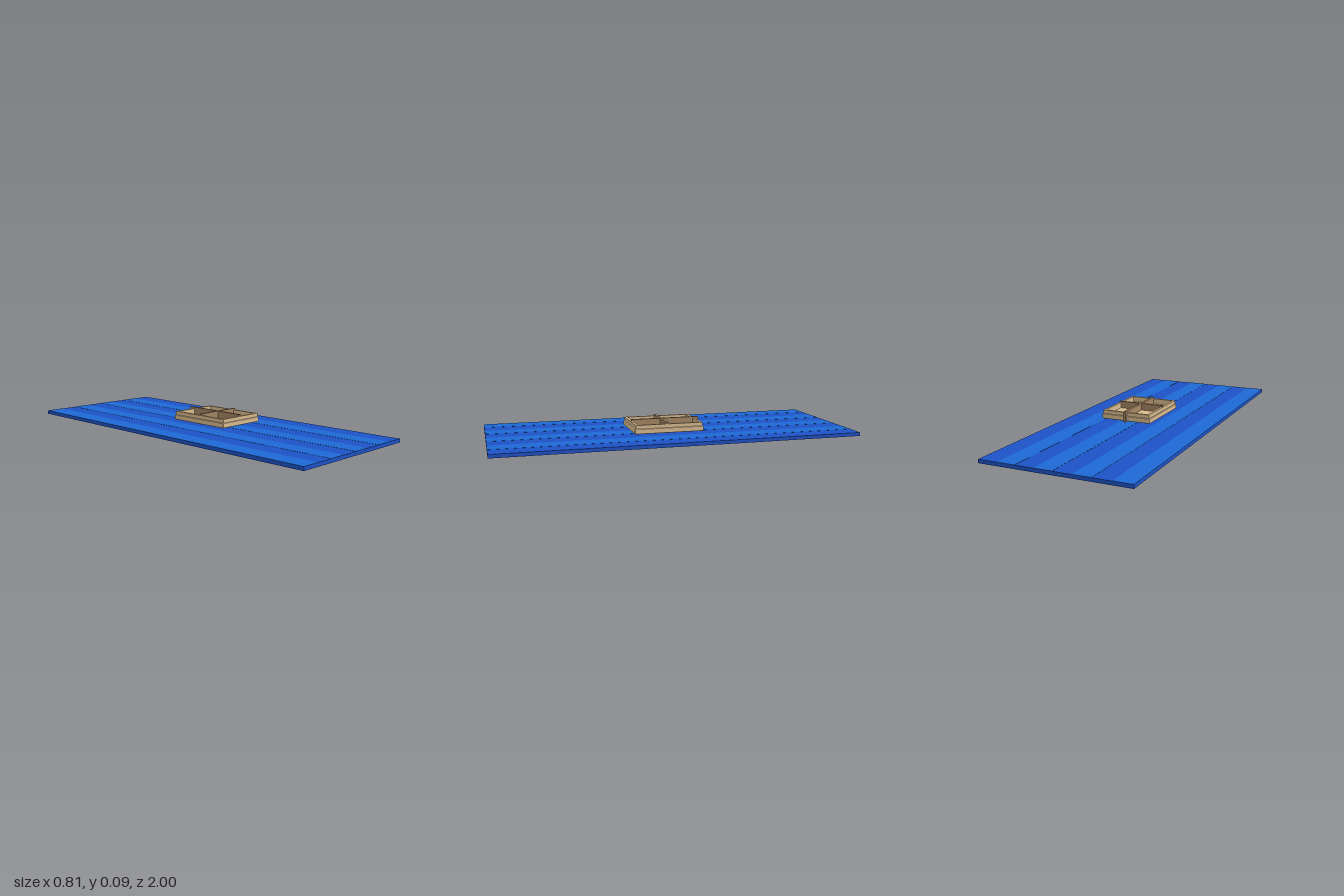
import * as THREE from 'three';
import { RoundedBoxGeometry } from 'three/addons/geometries/RoundedBoxGeometry.js';

const darkBlue = new THREE.MeshStandardMaterial({ color: 0x1d52c6 });
const lightBlue = new THREE.MeshStandardMaterial({ color: 0x1c69d4 });
const wood = new THREE.MeshStandardMaterial({ color: 0xd9bb8f });
const darkWood = new THREE.MeshStandardMaterial({ color: 0xa58662 });

function addMesh(parent, name, geometry, material, x, y, z) {
  const mesh = new THREE.Mesh(geometry, material);
  mesh.name = name;
  mesh.position.set(x, y, z);
  parent.add(mesh);
  return mesh;
}

// Box given by its limits along each axis
function addBox(parent, name, material, [x0, x1], [y0, y1], [z0, z1]) {
  return addMesh(parent, name, new THREE.BoxGeometry(x1 - x0, y1 - y0, z1 - z0), material,
    (x0 + x1) / 2, (y0 + y1) / 2, (z0 + z1) / 2);
}

// Rectangular ring lying flat, height h
function ringGeometry(w, d, wall, h) {
  const rect = (Path, a, b) => {
    const p = new Path();
    p.moveTo(-a, -b); p.lineTo(a, -b); p.lineTo(a, b); p.lineTo(-a, b); p.closePath();
    return p;
  };
  const shape = rect(THREE.Shape, w / 2, d / 2);
  shape.holes.push(rect(THREE.Path, w / 2 - wall, d / 2 - wall));
  const g = new THREE.ExtrudeGeometry(shape, { depth: h, bevelEnabled: false });
  return g.rotateX(-Math.PI / 2);
}

export function createModel() {
  const model = new THREE.Group();
  model.name = 'matWithTray';

  // Striped mat
  const mat = new THREE.Group();
  mat.name = 'mat';
  model.add(mat);
  addBox(mat, 'matBase', darkBlue, [-0.404, 0.404], [0, 0.0195], [-1, 1]);
  for (let i = 0; i < 4; i++) {
    const x = i === 0 ? -0.404 : -0.4 + i * 0.2;
    addBox(mat, 'matStripe', lightBlue, [x, -0.3 + i * 0.2], [0.0195, 0.0203], [-1, 1]);
  }

  // Shallow divided tray hovering over the mat
  const tray = new THREE.Group();
  tray.name = 'tray';
  tray.position.set(0.051, 0, 0.036);
  model.add(tray);

  addBox(tray, 'trayFloor', wood, [-0.135, 0.135], [0.036, 0.052], [-0.182, 0.182]);
  addMesh(tray, 'trayRim', ringGeometry(0.28, 0.374, 0.014, 0.046), wood, 0, 0.036, 0);

  // Rounded trim around the lower half
  for (const s of [-1, 1]) {
    addMesh(tray, 'sideTrim', new RoundedBoxGeometry(0.016, 0.028, 0.386, 2, 0.004), wood, s * 0.138, 0.048, 0);
    addMesh(tray, 'endTrim', new RoundedBoxGeometry(0.292, 0.028, 0.016, 2, 0.004), wood, 0, 0.048, s * 0.185);
  }

  // Crossed dividers, the long one poking out at the back
  addBox(tray, 'longDivider', darkWood, [-0.007, 0.007], [0.031, 0.091], [-0.207, 0.181]);
  addBox(tray, 'crossDivider', darkWood, [-0.136, 0.136], [0.031, 0.0905], [0.004, 0.018]);

  return model;
}
